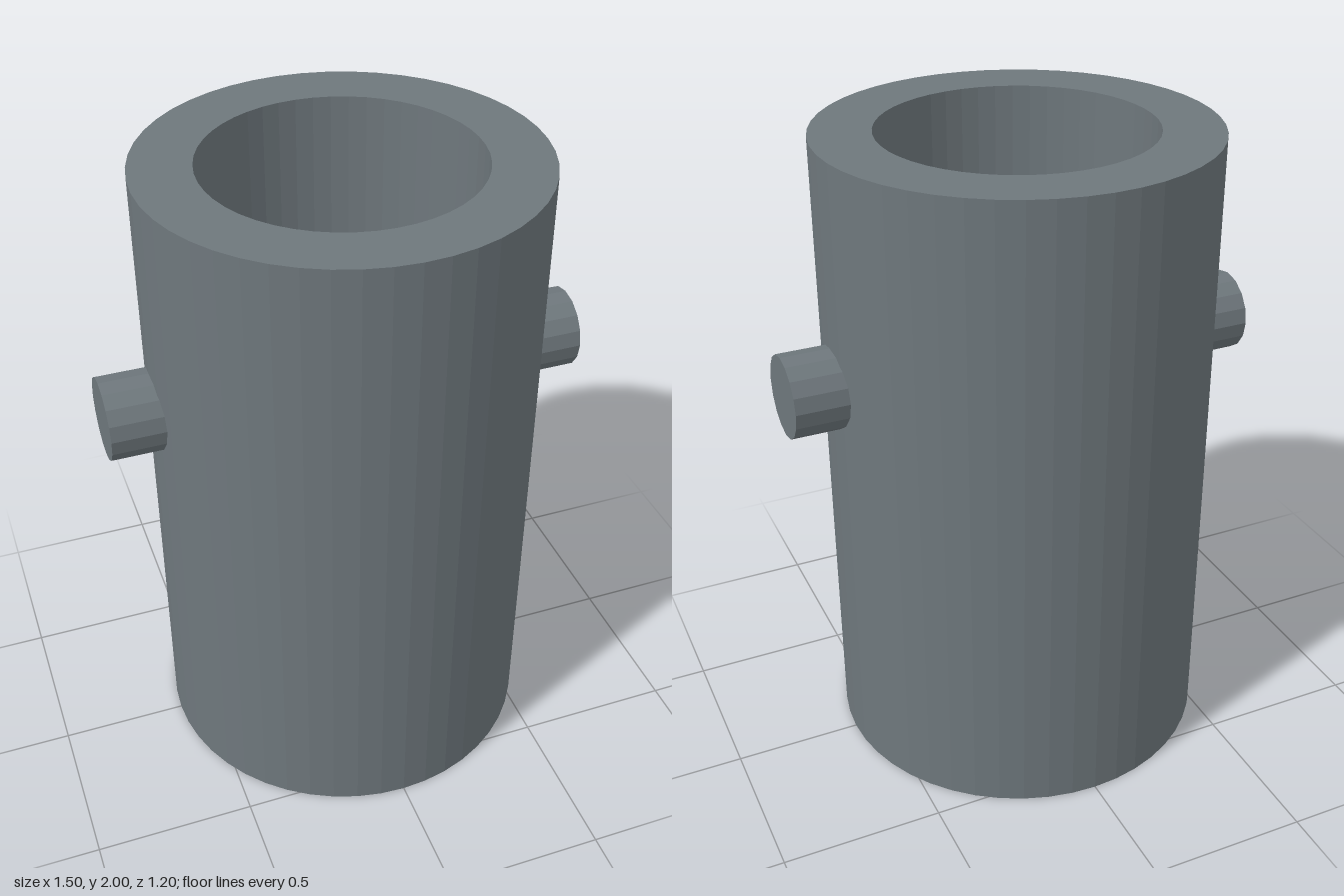
import * as THREE from 'three';

export function createModel() {
  const model = new THREE.Group();
  model.name = 'pinnedSleeve';
  const steel = new THREE.MeshStandardMaterial({ color: 0x6e777c, flatShading: true });
  steel.name = 'grey steel';

  // Hollow sleeve: a closed rectangular wall section turned about y
  const outer = 0.6, inner = 0.415, height = 2;
  const wall = [[outer, 0], [outer, height], [inner, height], [inner, 0], [outer, 0]]
    .map(([r, y]) => new THREE.Vector2(r, y));
  const sleeve = new THREE.Mesh(new THREE.LatheGeometry(wall, 48), steel);
  sleeve.name = 'sleeve';
  model.add(sleeve);

  // Two short pins passing through the wall on opposite sides
  const pinGeometry = new THREE.CylinderGeometry(0.127, 0.127, 0.5, 16).rotateZ(Math.PI / 2);
  for (const [name, side] of [['leftPin', 1], ['rightPin', -1]]) {
    const pin = new THREE.Mesh(pinGeometry, steel);
    pin.name = name;
    pin.position.set(side * 0.5, 1.29, 0);
    model.add(pin);
  }
  return model;
}
